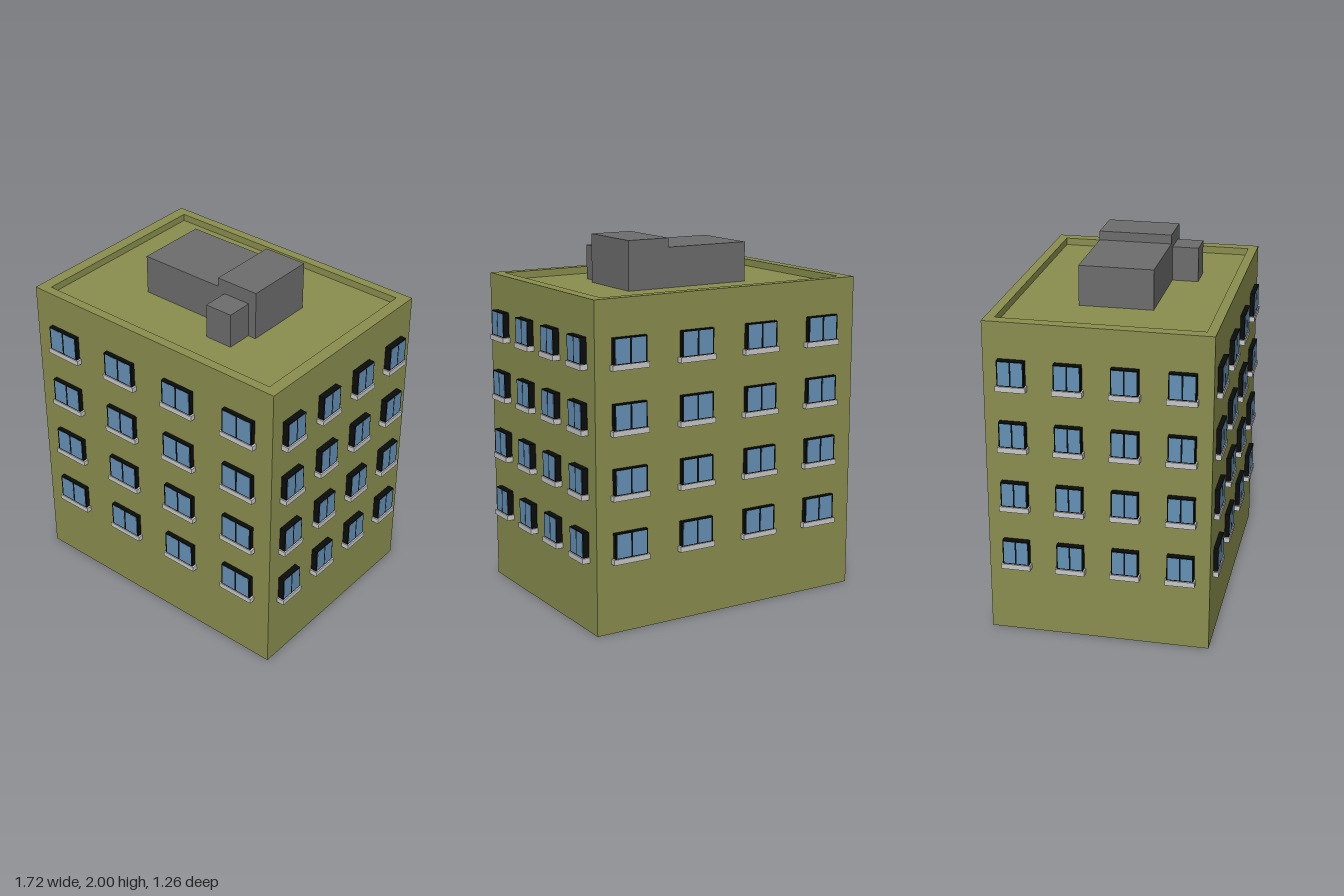
import * as THREE from 'three';

const mat = (name, color) => {
  const m = new THREE.MeshStandardMaterial({ color });
  m.name = name;
  return m;
};

export function createModel() {
  const wall = mat('olive wall', 0x8b8f4e);
  const concrete = mat('grey concrete', 0x6d6d6d);
  const frameBlack = mat('black frame', 0x0a0c0a);
  const glass = mat('blue glass', 0x6592b8);
  const sillGrey = mat('light sill', 0xc9c9cb);

  const model = new THREE.Group();
  model.name = 'apartmentBlock';

  // Box given by its minimum and maximum corners
  const box = (name, material, x0, x1, y0, y1, z0, z1, parent = model) => {
    const mesh = new THREE.Mesh(new THREE.BoxGeometry(x1 - x0, y1 - y0, z1 - z0), material);
    mesh.position.set((x0 + x1) / 2, (y0 + y1) / 2, (z0 + z1) / 2);
    mesh.name = name;
    parent.add(mesh);
    return mesh;
  };

  const X0 = -0.82, X1 = 0.813, Z = 0.6, TOP = 1.77, ROOF = 1.73;

  // Main body; its top is the roof floor
  box('body', wall, X0, X1, 0, ROOF, -Z, Z);

  // Parapet ring around the roof
  const rect = (Type, x0, x1, z) => {
    const s = new Type();
    s.moveTo(x0, -z);
    s.lineTo(x1, -z);
    s.lineTo(x1, z);
    s.lineTo(x0, z);
    s.closePath();
    return s;
  };
  const ring = rect(THREE.Shape, X0, X1, Z);
  ring.holes.push(rect(THREE.Path, -0.754, 0.746, 0.548));
  const parapet = new THREE.Mesh(
    new THREE.ExtrudeGeometry(ring, { depth: TOP - ROOF, bevelEnabled: false }), wall);
  parapet.rotation.x = -Math.PI / 2;
  parapet.position.y = ROOF;
  parapet.name = 'parapet';
  model.add(parapet);

  // Rooftop huts
  box('lowHut', concrete, -0.365, 0.132, ROOF, 1.95, -0.202, 0.202);
  box('tallHut', concrete, 0.132, 0.382, ROOF, 2.0, -0.202, 0.202);
  box('smallHut', concrete, 0.175, 0.335, ROOF, 1.922, 0.202, 0.347);

  // One window on a wall facing +z: frame, two panes and a sill
  const makeWindow = (w, depth, border) => {
    const g = new THREE.Group();
    g.name = 'window';
    const h = 0.14, gap = border * 0.6;
    box('frame', frameBlack, -w / 2, w / 2, 0, h, 0, depth, g);
    for (const s of [-1, 1]) {
      const a = s * gap, b = s * (w / 2 - border);
      box('pane', glass, Math.min(a, b), Math.max(a, b), 0.007, h - 0.006, depth - 0.002, depth + 0.001, g);
    }
    const over = w * 0.055;
    box('sill', sillGrey, -w / 2 - over, w / 2 + over, -0.027, 0.002, 0, depth * 1.22, g);
    return g;
  };

  // Four rows of four windows on each side
  const sides = [
    { name: 'frontWindows', turn: 0, x: -0.005, z: Z, step: 0.405, w: 0.195, d: 0.025, b: 0.009 },
    { name: 'backWindows', turn: Math.PI, x: 0.01, z: -Z, step: 0.405, w: 0.195, d: 0.025, b: 0.009 },
    { name: 'leftWindows', turn: Math.PI / 2, x: X1, z: 0.001, step: 0.297, w: 0.144, d: 0.035, b: 0.007 },
    { name: 'rightWindows', turn: -Math.PI / 2, x: X0, z: -0.001, step: 0.297, w: 0.144, d: 0.035, b: 0.007 },
  ];
  for (const s of sides) {
    const side = new THREE.Group();
    side.name = s.name;
    side.position.set(s.x, 0, s.z);
    side.rotation.y = s.turn;
    for (let row = 0; row < 4; row++) {
      for (let col = 0; col < 4; col++) {
        const win = makeWindow(s.w, s.d, s.b);
        win.position.set((col - 1.5) * s.step, 0.409 + row * 0.341, 0);
        side.add(win);
      }
    }
    model.add(side);
  }

  return model;
}
